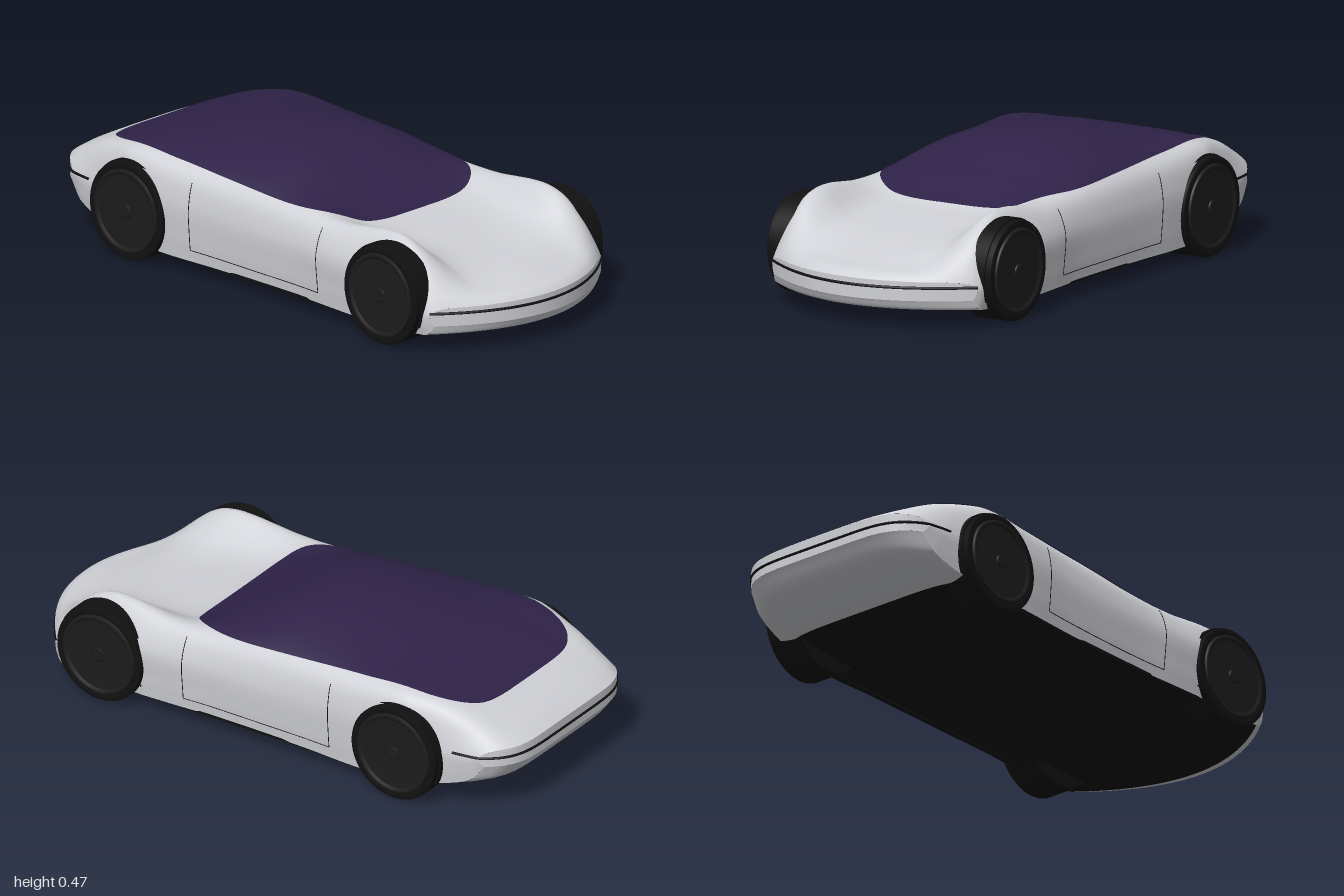
import * as THREE from 'three';

const mat = (name, color, side = THREE.FrontSide) => {
  const m = new THREE.MeshStandardMaterial({ color, side });
  m.name = name;
  return m;
};

// Body stations: s (along z), floor y, half width, widest y, shoulder x, shoulder y, mid y, centre y
const STATIONS = [
  [1, .1, .41, .14, .39, .157, .166, .168],
  [.98, .07, .418, .145, .39, .182, .185, .187],
  [.9, .06, .422, .17, .375, .265, .212, .205],
  [.8, .055, .425, .2, .365, .335, .25, .23],
  [.7, .055, .425, .24, .355, .366, .275, .25],
  [.6, .055, .428, .25, .355, .368, .285, .265],
  [.5, .055, .432, .25, .36, .358, .293, .28],
  [.36, .055, .428, .25, .37, .343, .308, .3],
  [.2, .055, .42, .25, .378, .34, .365, .372],
  [0, .055, .42, .25, .385, .347, .43, .455],
  [-.2, .055, .424, .26, .392, .355, .438, .47],
  [-.4, .055, .434, .27, .4, .366, .424, .447],
  [-.6, .06, .434, .27, .4, .375, .4, .408],
  [-.8, .085, .415, .225, .37, .34, .35, .352],
  [-.95, .13, .4, .222, .36, .275, .285, .288],
  [-1, .19, .39, .222, .37, .245, .255, .257],
];

// Smooth interpolation of one station value
function value(s, col) {
  const n = STATIONS.length;
  let i = 0;
  while (i < n - 2 && s < STATIONS[i + 1][0]) i++;
  const slope = (k) => {
    const a = STATIONS[Math.max(k - 1, 0)], b = STATIONS[Math.min(k + 1, n - 1)];
    return (b[col] - a[col]) / (b[0] - a[0]);
  };
  const a = STATIONS[i], b = STATIONS[i + 1], h = b[0] - a[0], t = (s - a[0]) / h;
  const t2 = t * t, t3 = t2 * t;
  return (2 * t3 - 3 * t2 + 1) * a[col] + (t3 - 2 * t2 + t) * h * slope(i)
    + (3 * t2 - 2 * t3) * b[col] + (t3 - t2) * h * slope(i + 1);
}

// Sweeps the stations back at the sides, for the curved nose and tail
function place(s, x, y) {
  let z = s;
  if (s > .4) z -= 1.75 * (s - .4) * x * x;
  if (s < -.6) z += 80 * (-s - .6) * x ** 6;
  return new THREE.Vector3(x, y, z);
}

// Cross-section from the left sill over the roof to the right sill
function section(s) {
  const [yb, w, yw, xs, ys, ym, yc] = [1, 2, 3, 4, 5, 6, 7].map((c) => value(s, c));
  const half = [[w - .012, yb], [w - .003, yb + (yw - yb) * .4], [w, yw], [xs, ys], [.23, ym]];
  const pts = [...half, [0, yc], ...half.map(([x, y]) => [-x, y]).reverse()];
  const curve = new THREE.CatmullRomCurve3(pts.map(([x, y]) => new THREE.Vector3(x, y, 0)));
  return (u) => {
    const p = curve.getPoint(u);
    return place(s, p.x, p.y);
  };
}

// Smooth surface from a function giving one row of points at a time
function grid(rows, cols, rowFn) {
  const pos = [], index = [];
  for (let i = 0; i <= rows; i++) {
    const f = rowFn(i / rows);
    for (let j = 0; j <= cols; j++) pos.push(...f(j / cols).toArray());
  }
  for (let i = 0; i < rows; i++) for (let j = 0; j < cols; j++) {
    const a = i * (cols + 1) + j, c = a + cols + 1;
    index.push(a, c, a + 1, a + 1, c, c + 1);
  }
  const g = new THREE.BufferGeometry();
  g.setAttribute('position', new THREE.Float32BufferAttribute(pos, 3));
  g.setIndex(index);
  g.computeVertexNormals();
  return g;
}

const lerp = THREE.MathUtils.lerp;

export function createModel() {
  const car = new THREE.Group();
  car.name = 'car';
  const silver = mat('silver paint', 0xd0d1d6);
  const glass = mat('dark violet glass', 0x2e2247, THREE.DoubleSide);
  const black = mat('black', 0x111111);
  const rimGrey = mat('dark rim', 0x1c1c1c);

  const add = (name, geometry, material, parent = car) => {
    const m = new THREE.Mesh(geometry, material);
    m.name = name;
    parent.add(m);
    return m;
  };

  // Body shell
  add('bodyShell', grid(160, 80, (t) => section(1 - 2 * t)), silver);

  // Nose and tail faces closing the shell
  for (const [name, s] of [['noseFace', 1], ['tailFace', -1]]) {
    const sec = section(s);
    add(name, grid(24, 32, (t) => {
      const p = sec(t / 2);
      return (v) => place(s, lerp(p.x, -p.x, v) * s, p.y);
    }), silver);
  }

  // Underside: painted ends and a black floor
  const underside = (name, from, to, material) => add(name, grid(40, 24, (t) => {
    const s = lerp(from, to, t), w = value(s, 2) - .012, y = value(s, 1);
    return (v) => place(s, lerp(-w, w, v), y);
  }), material);
  underside('frontLip', 1, .95, silver);
  underside('floor', .95, -.74, black);
  underside('rearUnderside', -.74, -1, silver);
  for (const side of [1, -1]) {
    const sill = add('sill', new THREE.BoxGeometry(.02, .009, 1.3), black);
    sill.position.set(side * .4, .055, .02);
  }

  // Glass canopy lying on the shell, with a rounded-rectangle outline
  add('canopyGlass', grid(90, 48, (t) => {
    const c = Math.cos(t * Math.PI), s = -.235 + .595 * c;
    const hw = .375 * Math.pow(Math.max(0, 1 - Math.abs(c) ** 5), 1 / 5);
    const sec = section(s);
    let lo = .2, hi = .5;
    for (let k = 0; k < 24; k++) {
      const m = (lo + hi) / 2;
      if (sec(m).x > hw) lo = m; else hi = m;
    }
    return (v) => {
      const p = sec(lerp(lo, 1 - lo, v));
      p.y += .004;
      return p;
    };
  }), glass);

  // Dark lines following the body
  const line = (name, pts, r) =>
    add(name, new THREE.TubeGeometry(new THREE.CatmullRomCurve3(pts), 64, r, 6), black);
  const steps = (n, f) => Array.from({ length: n + 1 }, (_, i) => f(i / n));

  line('frontLightStrip', steps(24, (t) => place(1, lerp(-.412, .412, t), .145)), .005);
  const tailSide = (side) => steps(5, (t) => {
    const s = lerp(-.9, -.99, t);
    return place(s, side * value(s, 2), .222);
  });
  line('rearLightStrip', [
    ...tailSide(1),
    ...steps(20, (t) => place(-1, lerp(.385, -.385, t), .222)),
    ...tailSide(-1).reverse(),
  ], .005);

  // Door seams
  for (const side of [1, -1]) {
    const at = (s, u) => section(s)(side > 0 ? u : 1 - u);
    for (const s of [.3, -.3]) line('doorSeam', steps(10, (t) => at(s, lerp(.05, .27, t))), .0015);
    line('doorBottomSeam', steps(10, (t) => at(lerp(.3, -.3, t), .05)), .0015);
  }

  // Wheels with arch liners
  const lathe = (pts) => new THREE.LatheGeometry(
    pts.map(([r, h]) => new THREE.Vector2(r, h)), 56).rotateZ(-Math.PI / 2);
  const tyre = lathe([[0, .318], [.168, .318], [.172, .322], [.172, .444], [.17, .448], [.15, .449], [.148, .444], [0, .444]]);
  const rim = lathe([[.147, .44], [.146, .452], [.142, .455], [.134, .455], [.131, .45], [.125, .45], [0, .449]]);
  const hub = lathe([[.026, .44], [.025, .453], [.021, .454], [0, .454]]);
  const liner = new THREE.CylinderGeometry(.178, .178, .09, 48, 1, false, -.5, Math.PI + 1)
    .rotateZ(Math.PI / 2).translate(.38, 0, 0);

  for (const [name, z] of [['frontWheel', .625], ['rearWheel', -.58]]) {
    for (const side of [1, -1]) {
      const wheel = new THREE.Group();
      wheel.name = name;
      wheel.position.set(0, .172, z);
      if (side < 0) wheel.rotation.y = Math.PI;
      add('tyre', tyre, black, wheel);
      add('rim', rim, rimGrey, wheel);
      add('hub', hub, rimGrey, wheel);
      add('archLiner', liner, black, wheel);
      car.add(wheel);
    }
  }
  return car;
}
